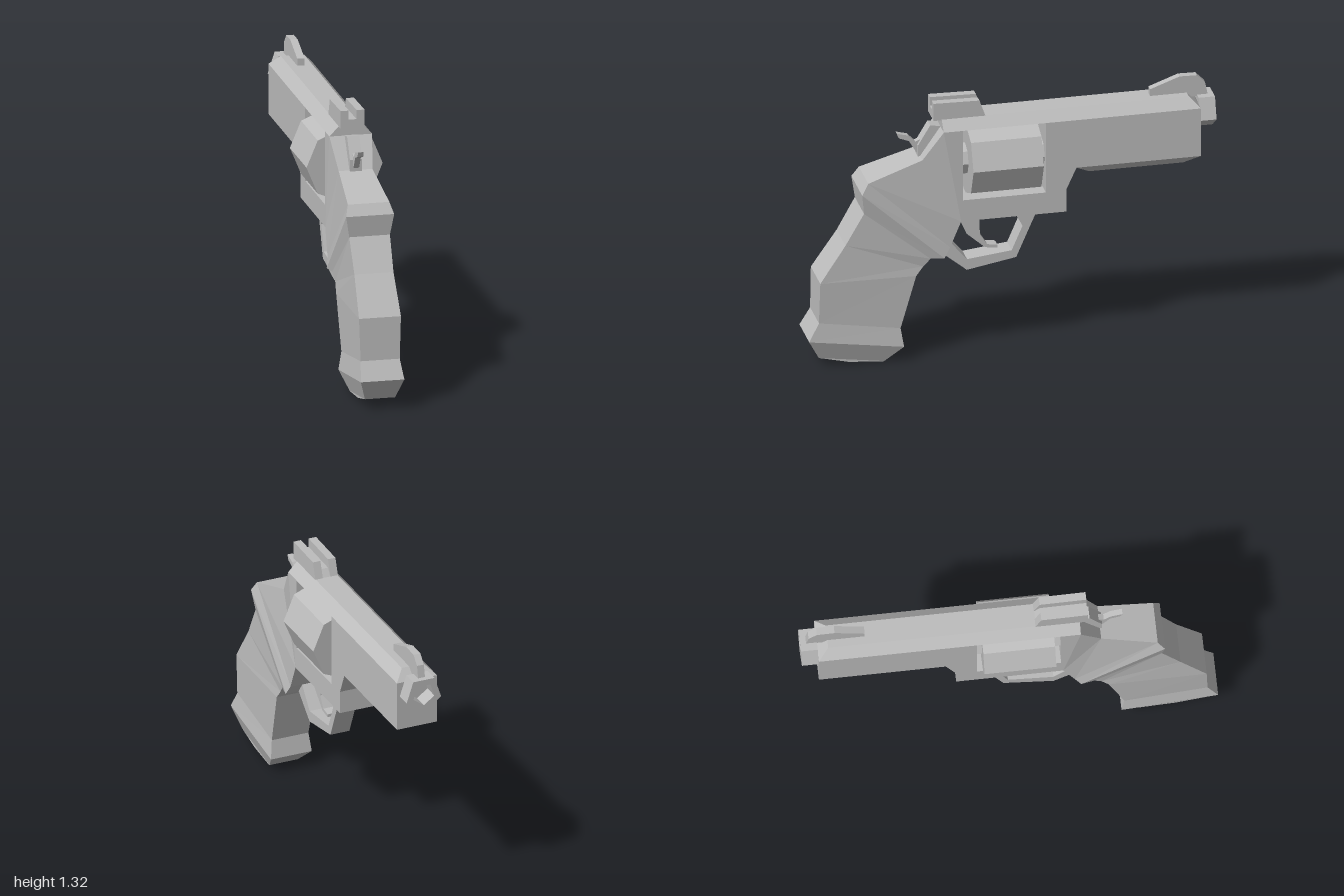
import * as THREE from 'three';

const steel = new THREE.MeshStandardMaterial({ color: 0xbdbdbd, flatShading: true });
steel.name = 'grey steel';

function part(name, geometry) {
  const mesh = new THREE.Mesh(geometry, steel);
  mesh.name = name;
  return mesh;
}

// Side profile of [z, y] points, given thickness across x
function slab(points, halfWidth, centreX = 0) {
  const shape = new THREE.Shape(points.map(([z, y]) => new THREE.Vector2(z, y)));
  const g = new THREE.ExtrudeGeometry(shape, { depth: halfWidth * 2, bevelEnabled: false });
  g.translate(0, 0, -halfWidth);
  g.rotateY(-Math.PI / 2);
  g.translate(centreX, 0, 0);
  return g;
}

// Four-sided loft, sections from top to bottom: [z, y, halfWidth] at the +z edge, then at the -z edge
function loft(sections) {
  const rings = sections.map(([za, ya, ha, zb, yb, hb]) => [
    [-ha, ya, za], [ha, ya, za], [hb, yb, zb], [-hb, yb, zb],
  ]);
  const out = [];
  const quad = (a, b, c, d) => out.push(...a, ...b, ...c, ...a, ...c, ...d);
  for (let s = 0; s < rings.length - 1; s++) {
    const u = rings[s], l = rings[s + 1];
    for (let i = 0; i < 4; i++) {
      const j = (i + 1) % 4;
      quad(l[i], l[j], u[j], u[i]);
    }
  }
  const t = rings[0], b = rings[rings.length - 1];
  quad(t[0], t[1], t[2], t[3]);
  quad(b[3], b[2], b[1], b[0]);
  const g = new THREE.BufferGeometry();
  g.setAttribute('position', new THREE.Float32BufferAttribute(out, 3));
  g.computeVertexNormals();
  return g;
}

function rod(radius, sides, zFrom, zTo, y) {
  const g = new THREE.CylinderGeometry(radius, radius, zFrom - zTo, sides);
  g.rotateX(Math.PI / 2);
  g.translate(0, y, (zFrom + zTo) / 2);
  return g;
}

// Pentagon standing on one corner
function pentagon(radius, Type) {
  const pts = [];
  for (let i = 0; i < 5; i++) {
    const a = -Math.PI / 2 + (i * Math.PI * 2) / 5;
    pts.push(new THREE.Vector2(radius * Math.cos(a), radius * Math.sin(a)));
  }
  return new Type(pts);
}

export function createModel() {
  const model = new THREE.Group();
  model.name = 'revolver';

  // Frame and barrel shroud with the cylinder window; the rear corner tapers in
  const frame = slab([
    [0.34, 1.19], [0.245, 1.19], [0.245, 0.825], [-0.16, 0.825], [-0.16, 1.19],
    [-0.92, 1.19], [-0.92, 0.94], [-0.31, 0.94], [-0.26, 0.83], [-0.26, 0.715],
    [0.255, 0.715], [0.44, 1.045],
  ], 0.105);
  const p = frame.attributes.position;
  for (let i = 0; i < p.count; i++) {
    if (p.getZ(i) > 0.43) p.setX(i, Math.sign(p.getX(i)) * 0.083);
  }
  frame.computeVertexNormals();
  model.add(part('frame', frame));

  // Chamfered strap on top and chamfered barrel underside
  model.add(part('topStrap', loft([
    [0.34, 1.24, 0.057, -0.87, 1.24, 0.057],
    [0.34, 1.19, 0.105, -0.92, 1.19, 0.105],
  ])));
  model.add(part('barrelUnderside', loft([
    [-0.31, 0.94, 0.105, -0.92, 0.94, 0.105],
    [-0.38, 0.9, 0.072, -0.84, 0.9, 0.072],
  ])));

  // Muzzle ring
  const ring = pentagon(0.095, THREE.Shape);
  ring.holes.push(pentagon(0.058, THREE.Path));
  const muzzle = new THREE.ExtrudeGeometry(ring, { depth: 0.08, bevelEnabled: false });
  muzzle.translate(0, 1.147, -1);
  model.add(part('muzzle', muzzle));

  // Cylinder and its axle
  model.add(part('cylinder', rod(0.187, 8, 0.213, -0.132, 1.003)));
  model.add(part('cylinderAxle', rod(0.08, 8, 0.25, -0.165, 1.0)));

  // Grip, from the frame down to the butt
  model.add(part('grip', loft([
    [0.44, 1.045, 0.083, 0.255, 0.715, 0.105],
    [0.71, 0.957, 0.102, 0.31, 0.585, 0.107],
    [0.743, 0.905, 0.118, 0.34, 0.535, 0.118],
    [0.73, 0.8, 0.1, 0.405, 0.535, 0.107],
    [0.82, 0.64, 0.096, 0.44, 0.495, 0.1],
    [0.945, 0.455, 0.103, 0.475, 0.45, 0.104],
    [0.95, 0.245, 0.096, 0.55, 0.18, 0.096],
    [1.0, 0.155, 0.107, 0.535, 0.085, 0.107],
    [0.946, 0.053, 0.074, 0.625, 0.005, 0.074],
    [0.8, 0.018, 0.074, 0.63, 0.003, 0.074],
  ])));

  // Trigger and guard
  model.add(part('triggerGuard', slab([
    [0.34, 0.535], [0.215, 0.432], [-0.027, 0.475], [-0.132, 0.717], [-0.016, 0.717],
    [-0.058, 0.636], [-0.005, 0.513], [0.214, 0.488], [0.3, 0.59],
  ], 0.05)));
  model.add(part('trigger', slab([
    [0.255, 0.717], [0.21, 0.61], [0.12, 0.53], [0.06, 0.523], [0.06, 0.538],
    [0.11, 0.545], [0.145, 0.6], [0.15, 0.717],
  ], 0.025)));

  // Hammer block and thumb spur
  model.add(part('hammerBlock', slab([
    [0.33, 1.19], [0.39, 1.2], [0.45, 1.1], [0.45, 1.04], [0.4, 1.04],
  ], 0.03)));
  model.add(part('hammerSpur', slab([
    [0.4, 1.14], [0.46, 1.115], [0.495, 1.15], [0.55, 1.165], [0.54, 1.14],
    [0.49, 1.12], [0.455, 1.06], [0.42, 1.05],
  ], 0.014)));

  // Rear sight: two rails with a groove between them
  const rail = (top) => [[0.38, 1.235], [0.38, top + 0.005], [0.155, top], [0.125, 1.235]];
  for (const side of [-1, 1]) {
    model.add(part(side > 0 ? 'leftSightRail' : 'rightSightRail', slab(rail(1.32), 0.0195, side * 0.0395)));
  }
  model.add(part('rearSightBase', slab(rail(1.275), 0.02)));

  // Front sight blade
  model.add(part('frontSight', slab([
    [-0.69, 1.235], [-0.69, 1.275], [-0.835, 1.328], [-0.92, 1.326], [-0.96, 1.285],
    [-0.973, 1.22], [-0.87, 1.215],
  ], 0.018)));

  return model;
}
